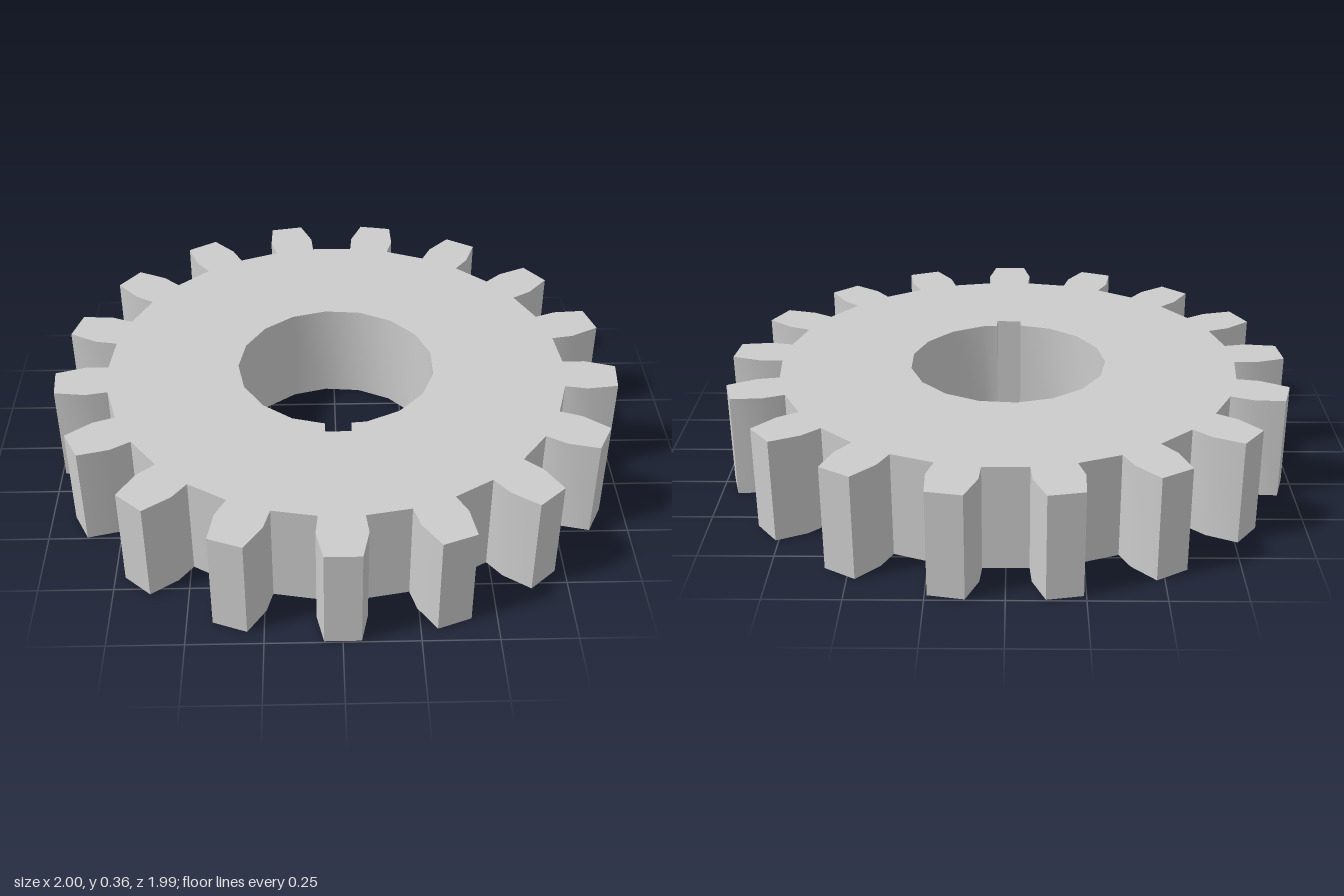
import * as THREE from 'three';
import { toCreasedNormals } from 'three/addons/utils/BufferGeometryUtils.js';

const TEETH = 17;
const HEIGHT = 0.364;
const BORE = 0.35;

// Half outline of one tooth: [half width, distance from the axis]
const TOOTH = [[0.075, 0.812], [0.083, 0.89], [0.06, 0.998]];

export function createModel() {
  const group = new THREE.Group();
  const step = (Math.PI * 2) / TEETH;
  const origin = new THREE.Vector2();

  // Toothed rim; one tooth points to the front, which is -y in the shape
  const tooth = [
    ...TOOTH.map(([w, r]) => [-w, -r]),
    ...TOOTH.slice().reverse().map(([w, r]) => [w, -r]),
  ];
  const outline = [];
  for (let i = 0; i < TEETH; i++) {
    for (const [x, y] of tooth) {
      outline.push(new THREE.Vector2(x, y).rotateAround(origin, i * step));
    }
  }
  const shape = new THREE.Shape(outline);

  // Bore, starting at -x, with a keyway cut in its front side
  const bore = [];
  for (let i = 0; i < TEETH; i++) {
    const a = Math.PI + i * step;
    const x = BORE * Math.cos(a);
    const y = BORE * Math.sin(a);
    if (y < 0 && Math.abs(x) < 0.045) {
      for (const [kx, ky] of [[-0.045, -0.344], [-0.045, -0.388], [0.045, -0.388], [0.045, -0.341]]) {
        bore.push(new THREE.Vector2(kx, ky));
      }
    } else {
      bore.push(new THREE.Vector2(x, y));
    }
  }
  shape.holes.push(new THREE.Path(bore));

  // Extrude and lay flat, keeping the tooth corners sharp and the bore smooth
  let geometry = new THREE.ExtrudeGeometry(shape, { depth: HEIGHT, bevelEnabled: false });
  geometry.rotateX(-Math.PI / 2);
  geometry.translate(0, 0, -0.003);
  geometry = toCreasedNormals(geometry, 0.5);

  const gear = new THREE.Mesh(geometry, new THREE.MeshStandardMaterial({ color: 0xcccccc }));
  gear.name = 'gearWheel';
  group.add(gear);
  return group;
}
